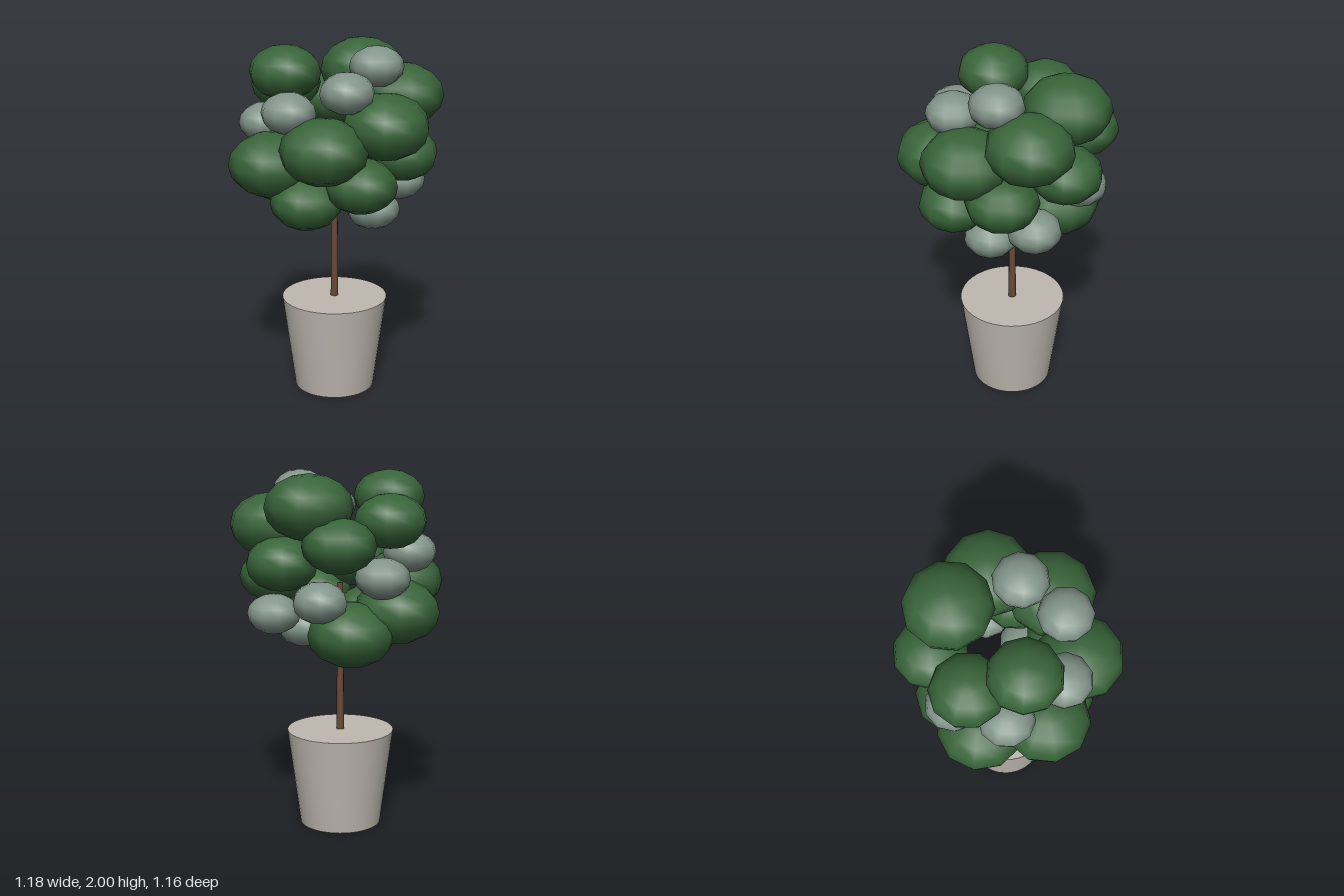
import * as THREE from 'three';
import { toCreasedNormals } from 'three/addons/utils/BufferGeometryUtils.js';

const material = (name, color) => {
  const m = new THREE.MeshStandardMaterial({ color });
  m.name = name;
  return m;
};

export function createModel() {
  const model = new THREE.Group();
  model.name = 'pottedTree';
  const clay = material('paleClay', 0xbfb9b0);
  const bark = material('brownBark', 0x6b4a38);
  const green = material('leafGreen', 0x386439);
  const silver = material('silverGreen', 0x82958a);

  const add = (name, geometry, mat, x, y, z, parent = model) => {
    const mesh = new THREE.Mesh(geometry, mat);
    mesh.name = name;
    mesh.position.set(x, y, z);
    parent.add(mesh);
    return mesh;
  };

  // Tapered pot, filled to the brim, with a hollow foot
  const profile = [[0, 0.04], [0.228, 0.04], [0.224, 0], [0.229, 0], [0.3, 0.545], [0, 0.545]]
    .map(([r, y]) => new THREE.Vector2(r, y));
  const pot = toCreasedNormals(new THREE.LatheGeometry(profile, 40), 0.6);
  add('pot', pot, clay, -0.01, 0, -0.033);

  // Thin trunk
  add('trunk', new THREE.CylinderGeometry(0.017, 0.023, 0.86, 8), bark, -0.01, 0.955, -0.033);

  // Crown of squashed leaf clusters: x, y, z of each centre
  const crown = new THREE.Group();
  crown.name = 'crown';
  model.add(crown);
  const ball = new THREE.SphereGeometry(1, 10, 8);
  const clusters = (name, mat, radius, centres) => centres.forEach(([x, y, z], i) => {
    const blob = add(name + (i + 1), ball, mat, x, y, z, crown);
    blob.scale.set(radius, radius * 0.745, radius);
    blob.rotation.y = Math.atan2(x, z);
  });

  clusters('largeLeafCluster', green, 0.238, [
    [0.015, 1.82, -0.34], [0.3, 1.71, -0.235], [0.355, 1.597, 0.095], [0.108, 1.487, 0.342],
    [-0.235, 1.37, 0.28], [-0.358, 1.253, -0.04], [-0.185, 1.143, -0.24],
  ]);
  clusters('smallLeafCluster', green, 0.198, [
    [-0.347, 1.745, -0.103], [-0.217, 1.855, 0.152], [-0.18, 1.63, -0.37], [0.157, 1.52, -0.384],
    [0.365, 1.41, -0.11], [0.26, 1.287, 0.2], [-0.027, 1.18, 0.277],
  ]);
  clusters('silverLeafCluster', silver, 0.149, [
    [0.24, 1.89, -0.035], [0.188, 1.783, 0.225], [-0.106, 1.67, 0.325], [-0.365, 1.56, 0.11],
    [-0.348, 1.45, -0.195], [-0.08, 1.33, -0.396], [0.285, 1.22, -0.26], [0.242, 1.108, 0],
  ]);

  return model;
}
